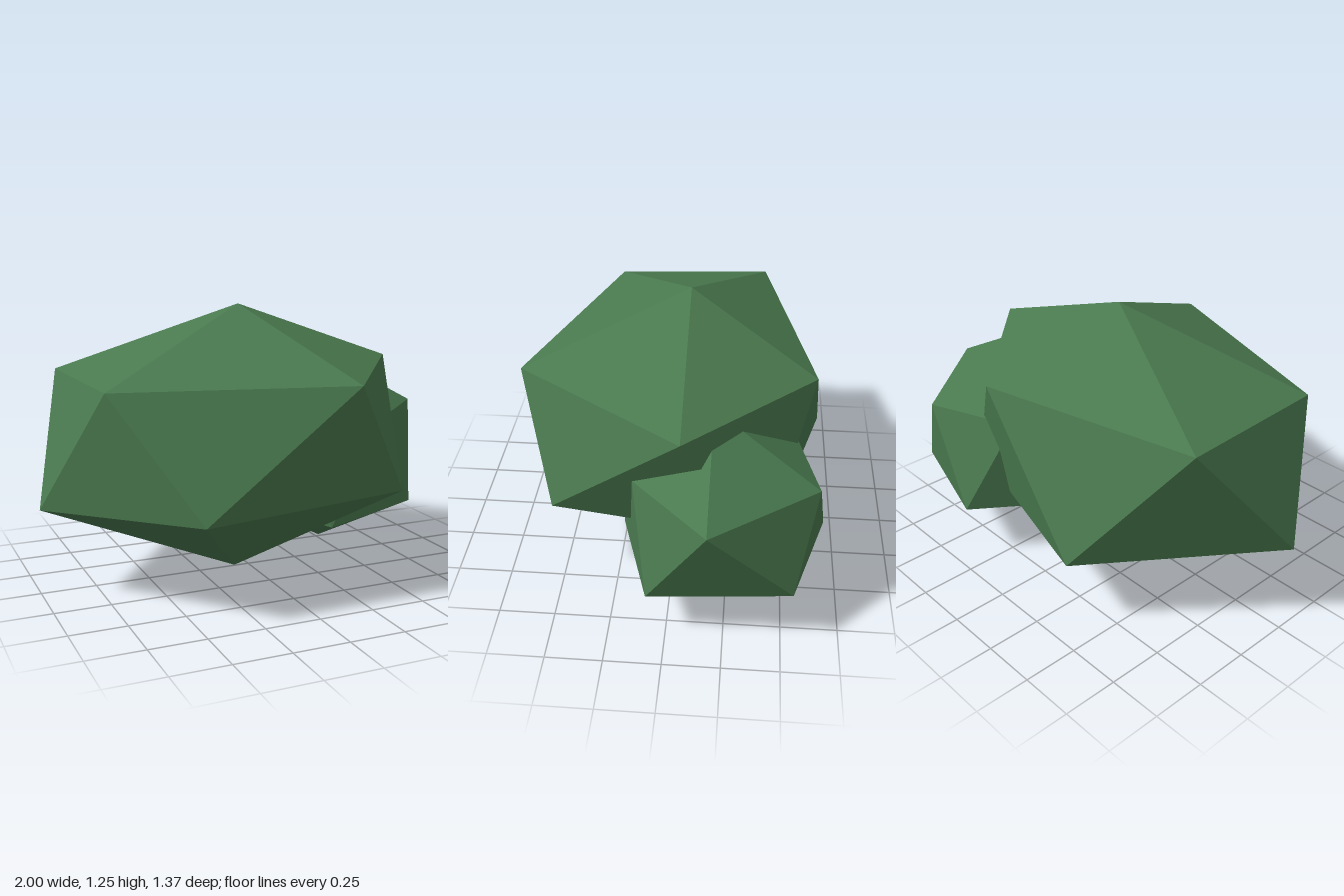
import * as THREE from 'three';

// Closed 20-sided blob: top point, upper ring of five, lower ring of five, bottom point
function facetedBlob(name, top, upper, lower, bottom, material) {
  const pos = [];
  for (let i = 0; i < 5; i++) {
    const j = (i + 1) % 5;
    pos.push(...top, ...upper[i], ...upper[j]);
    pos.push(...upper[i], ...lower[i], ...upper[j]);
    pos.push(...lower[i], ...lower[j], ...upper[j]);
    pos.push(...bottom, ...lower[j], ...lower[i]);
  }
  const geometry = new THREE.BufferGeometry();
  geometry.setAttribute('position', new THREE.Float32BufferAttribute(pos, 3));
  geometry.computeVertexNormals();
  const mesh = new THREE.Mesh(geometry, material);
  mesh.name = name;
  return mesh;
}

export function createModel() {
  const group = new THREE.Group();
  group.name = 'bush';
  const leafGreen = new THREE.MeshStandardMaterial({ color: 0x4a7a4f });
  leafGreen.name = 'leafGreen';
  leafGreen.flatShading = true;

  // Wide main clump; rings run counter-clockwise seen from above
  group.add(facetedBlob('mainClump',
    [-0.03, 1.25, -0.05],
    [[0.76, 0.975, -0.06], [0.2, 0.95, -0.615], [-0.815, 0.95, -0.38], [-0.78, 0.94, 0.35], [0.22, 0.955, 0.68]],
    [[0.58, 0.36, -0.42], [-0.38, 0.345, -0.677], [-1, 0.4, 0.05], [-0.475, 0.43, 0.682], [0.525, 0.44, 0.523]],
    [-0.12, 0.05, 0.115], leafGreen));

  // Smaller clump set into the left rear side
  group.add(facetedBlob('sideClump',
    [0.5, 0.975, -0.18],
    [[0.995, 0.713, -0.18], [0.64, 0.69, -0.632], [0.18, 0.72, -0.5], [0.18, 0.69, 0.08], [0.645, 0.7, 0.148]],
    [[0.85, 0.298, -0.54], [0.34, 0.268, -0.685], [0.04, 0.26, -0.25], [0.33, 0.208, 0.233], [0.85, 0.245, 0.08]],
    [0.525, 0.003, -0.272], leafGreen));

  return group;
}
